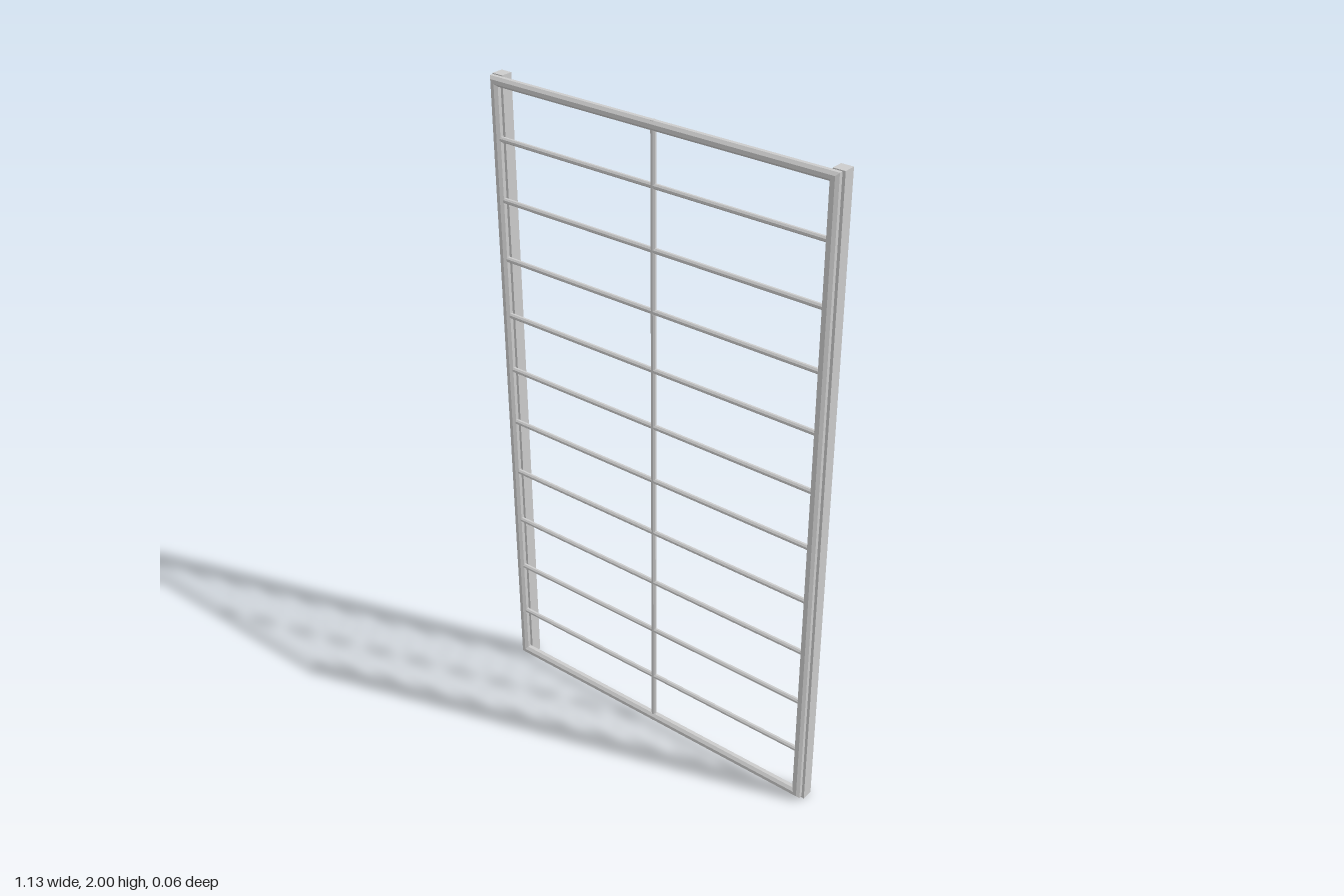
import * as THREE from 'three';

const material = new THREE.MeshStandardMaterial({ color: 0xcccccc, flatShading: true });

// Frame tube centreline and sizes (radii are measured to the flats)
const HALF_W = 0.548, BOTTOM = 0.025, TOP = 1.986, TUBE_R = 0.0135, TUBE_Z = 0.0165;
const ROD_R = 0.0075;

function add(parent, name, geometry, x, y, z) {
  const mesh = new THREE.Mesh(geometry, material);
  mesh.name = name;
  mesh.position.set(x, y, z);
  parent.add(mesh);
  return mesh;
}

// Eight-sided bar along y with flats facing x and z
function octagonBar(radius, length, open = false) {
  const corner = radius / Math.cos(Math.PI / 8);
  return new THREE.CylinderGeometry(corner, corner, length, 8, 1, open).rotateY(Math.PI / 8);
}

// Bar whose ends are cut at 45 degrees; local +x is the outer side
function mitredTube(length) {
  const geometry = octagonBar(TUBE_R, length, true);
  const p = geometry.attributes.position;
  for (let i = 0; i < p.count; i++) p.setY(i, p.getY(i) + Math.sign(p.getY(i)) * p.getX(i));
  return geometry;
}

export function createModel() {
  const group = new THREE.Group();
  group.name = 'trellisPanel';
  const midY = (TOP + BOTTOM) / 2, height = TOP - BOTTOM;

  // Square posts behind the frame, and the frame's side tubes
  for (const side of [-1, 1]) {
    const label = side > 0 ? 'left' : 'right';
    add(group, label + 'Post', new THREE.BoxGeometry(0.036, 2, 0.036), side * 0.549, 1, -0.012);
    const tube = add(group, label + 'FrameTube', mitredTube(height), side * HALF_W, midY, TUBE_Z);
    if (side < 0) tube.rotation.z = Math.PI;
  }

  // Top and bottom frame tubes
  add(group, 'topRail', mitredTube(2 * HALF_W), 0, TOP, TUBE_Z).rotation.z = Math.PI / 2;
  add(group, 'bottomRail', mitredTube(2 * HALF_W), 0, BOTTOM, TUBE_Z).rotation.z = -Math.PI / 2;

  // Ten thin cross rods
  const rod = octagonBar(ROD_R, 2 * HALF_W);
  for (let i = 0; i < 10; i++) {
    add(group, 'crossRod' + (i + 1), rod, 0, 0.19 + i * 0.1813, TUBE_Z).rotation.z = Math.PI / 2;
  }

  // Upright centre rod, running through both rails
  add(group, 'centreRod', octagonBar(ROD_R, height + 0.027), 0, midY, TUBE_Z);

  return group;
}
